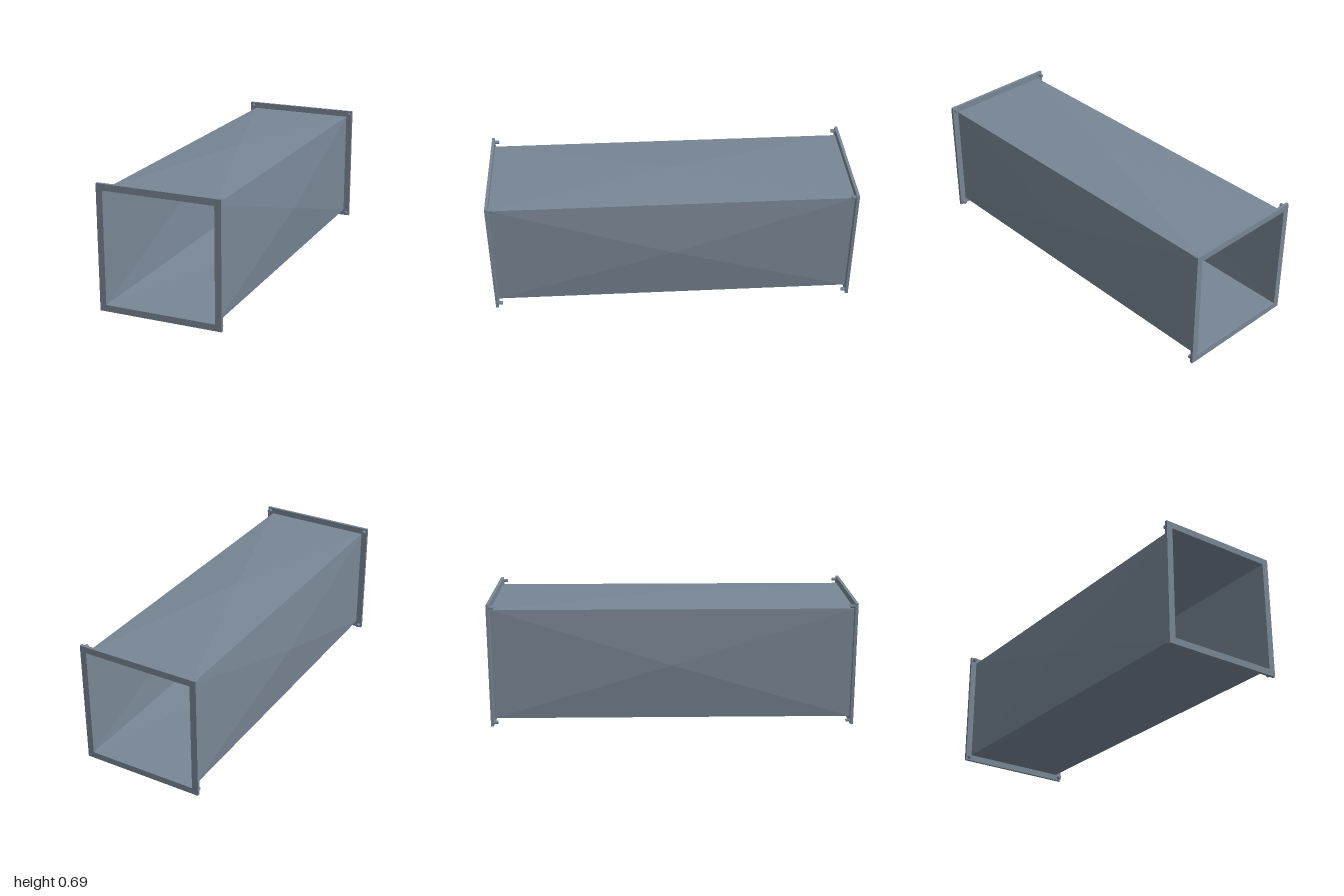
import * as THREE from 'three';

const HALF = 0.308;      // half width of the duct opening
const OUTER = 0.3435;    // half width of the flanges
const BULGE = 0.337;     // distance of each panel's raised centre from the axis
const FLANGE = 0.016;    // flange thickness
const END = 1 - FLANGE;  // half length of the duct walls

// Four triangles rising from a rectangle to a shallow central peak, facing +y
function panelGeometry() {
  const a = [-HALF, HALF, END], b = [HALF, HALF, END];
  const c = [HALF, HALF, -END], d = [-HALF, HALF, -END];
  const peak = [0, BULGE, 0];
  const corners = [a, b, c, d];
  const points = corners.flatMap((p, i) => [...p, ...corners[(i + 1) % 4], ...peak]);
  const geometry = new THREE.BufferGeometry();
  geometry.setAttribute('position', new THREE.Float32BufferAttribute(points, 3));
  geometry.computeVertexNormals();
  return geometry;
}

// Square ring, extruded along z
function flangeGeometry() {
  const square = (Type, r) => new Type([
    new THREE.Vector2(-r, -r), new THREE.Vector2(r, -r),
    new THREE.Vector2(r, r), new THREE.Vector2(-r, r),
  ]);
  const ring = square(THREE.Shape, OUTER);
  ring.holes.push(square(THREE.Path, HALF));
  return new THREE.ExtrudeGeometry(ring, { depth: FLANGE, bevelEnabled: false })
    .translate(0, 0, -FLANGE / 2);
}

export function createModel() {
  const group = new THREE.Group();
  group.name = 'ductSection';

  const steel = new THREE.MeshStandardMaterial({ color: 0x788694, side: THREE.DoubleSide });
  steel.name = 'blue grey steel';

  const add = (name, geometry) => {
    const mesh = new THREE.Mesh(geometry, steel);
    mesh.name = name;
    group.add(mesh);
    return mesh;
  };

  // Sheet walls, turned around the duct axis
  const panel = panelGeometry();
  ['topPanel', 'rightPanel', 'bottomPanel', 'leftPanel'].forEach((name, i) => {
    const mesh = add(name, panel);
    mesh.position.y = OUTER;
    mesh.rotation.z = i * Math.PI / 2;
  });

  // End flanges with a bolt behind each corner
  const flange = flangeGeometry();
  const bolt = new THREE.CylinderGeometry(0.01, 0.01, 0.024, 8).rotateX(Math.PI / 2);
  const boltOffset = 0.326;
  for (const end of [1, -1]) {
    const side = end > 0 ? 'front' : 'back';
    add(side + 'Flange', flange).position.set(0, OUTER, end * (1 - FLANGE / 2));
    for (const sx of [-1, 1]) {
      for (const sy of [-1, 1]) {
        add(side + 'Bolt', bolt)
          .position.set(sx * boltOffset, OUTER + sy * boltOffset, end * (END - 0.011));
      }
    }
  }
  return group;
}
